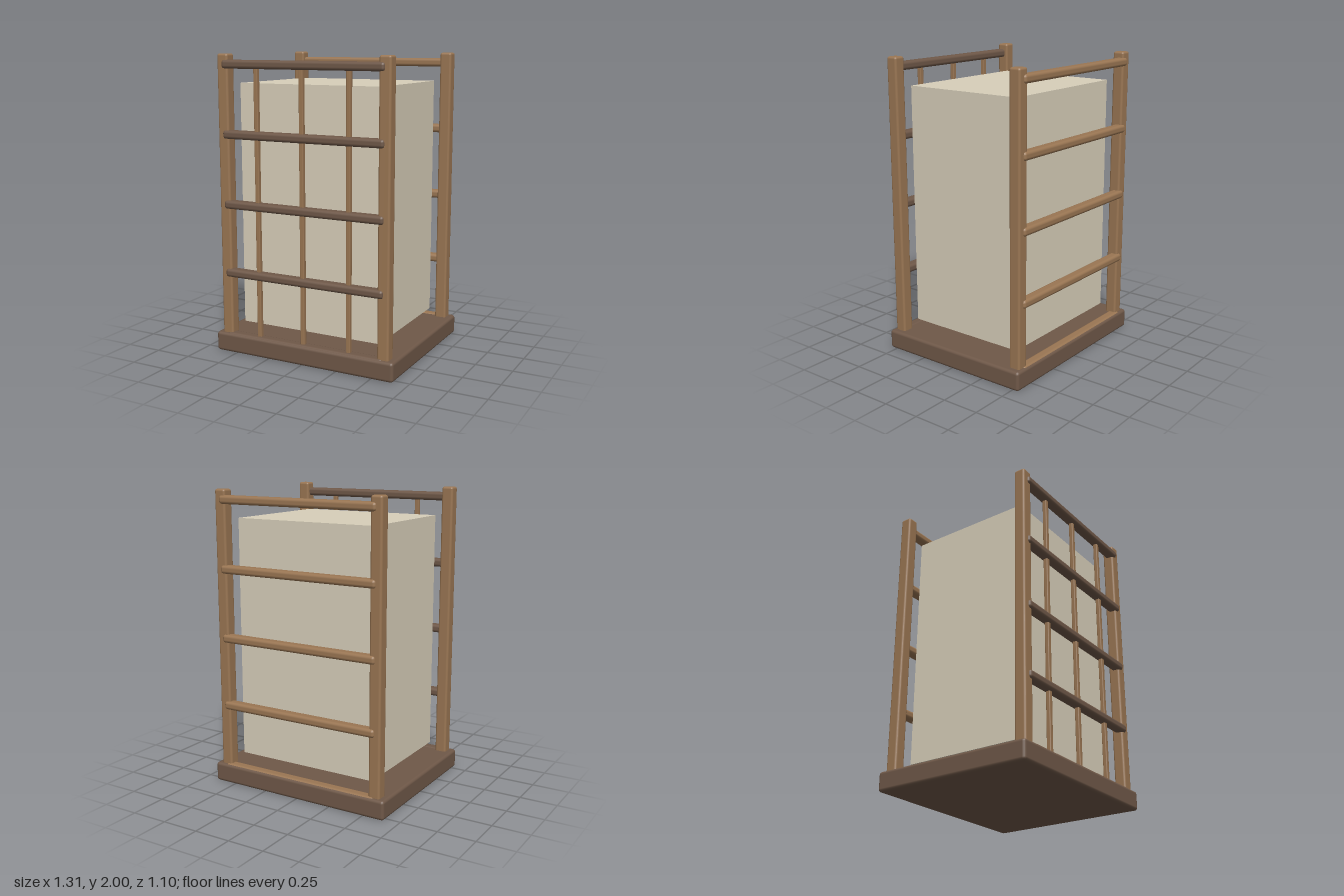
import * as THREE from 'three';
import { RoundedBoxGeometry } from 'three/addons/geometries/RoundedBoxGeometry.js';

export function createModel() {
  const model = new THREE.Group();
  const darkWood = new THREE.MeshStandardMaterial({ color: 0x6f5848 });
  const lightWood = new THREE.MeshStandardMaterial({ color: 0x9a7653 });
  const paper = new THREE.MeshStandardMaterial({ color: 0xd8cfba });

  const add = (name, geometry, material, x, y, z) => {
    const mesh = new THREE.Mesh(geometry, material);
    mesh.name = name;
    mesh.position.set(x, y, z);
    model.add(mesh);
  };

  // Plinth and the pale block floating just above it
  add('base', new RoundedBoxGeometry(1.31, 0.13, 1.1, 2, 0.02), darkWood, 0, 0.07, 0);
  add('innerPanel', new THREE.BoxGeometry(1.01, 1.614, 0.85), paper, 0, 1.004, 0);

  // Corner posts
  const post = new RoundedBoxGeometry(0.08, 1.9, 0.08, 2, 0.015);
  for (const x of [-0.575, 0.575])
    for (const z of [-0.489, 0.489]) add('post', post, lightWood, x, 1.05, z);

  // Horizontal rails: dark in front, light behind, the lowest sunk in the base
  const rail = new RoundedBoxGeometry(1.154, 0.056, 0.072, 2, 0.02);
  for (const y of [0.113, 0.555, 1.018, 1.481, 1.933]) {
    add('frontRail', rail, darkWood, 0, y, 0.507);
    add('backRail', rail, lightWood, 0, y, -0.507);
  }

  // Slim uprights of the front lattice
  const bar = new RoundedBoxGeometry(0.03, 1.83, 0.03, 2, 0.006);
  for (const x of [-0.33, 0, 0.33]) add('latticeBar', bar, lightWood, x, 1.02, 0.505);

  // Stand on y = 0
  model.position.y = -0.005;
  return model;
}
